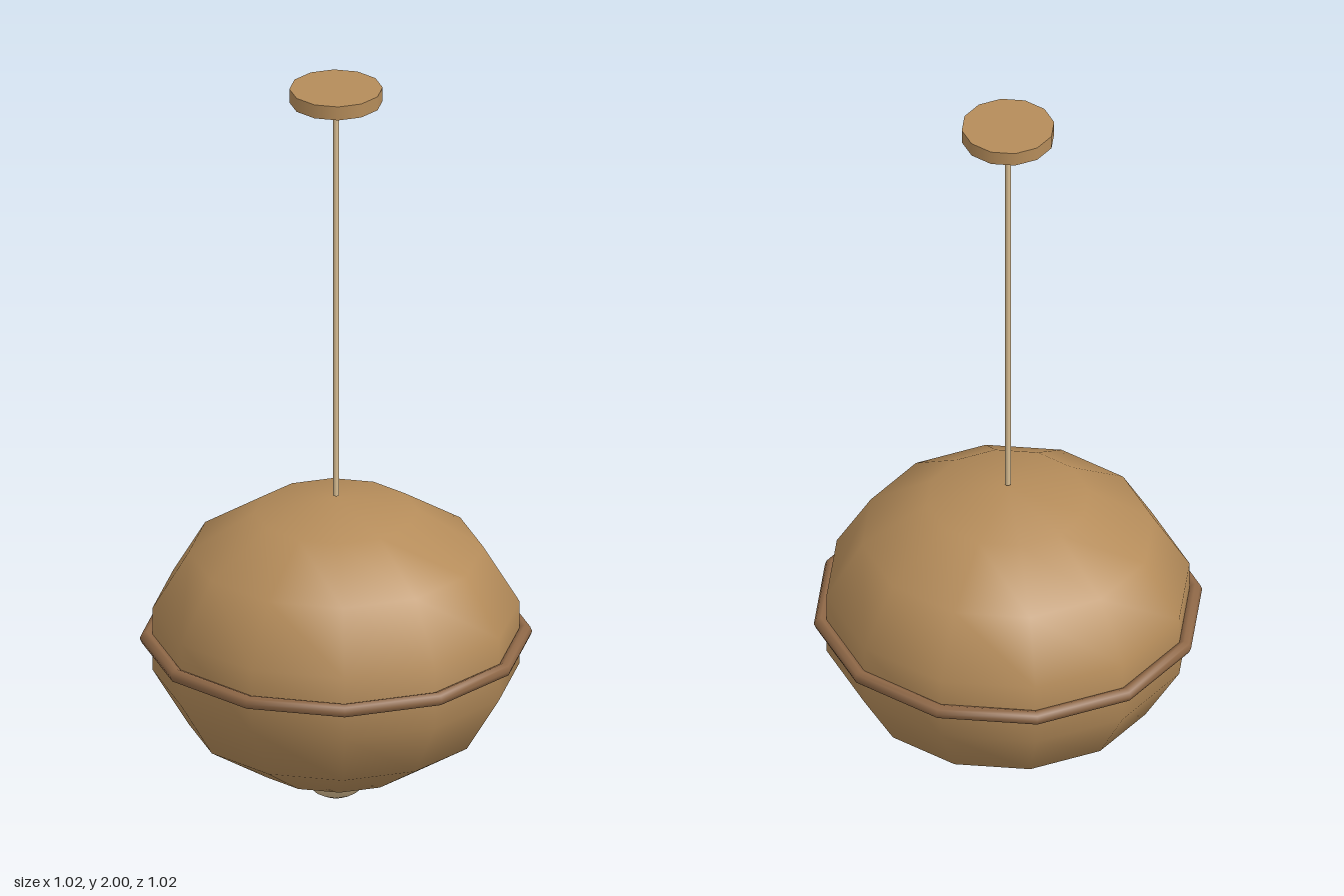
import * as THREE from 'three';

export function createModel() {
  const lamp = new THREE.Group();
  lamp.name = 'pendantLamp';

  const wood = new THREE.MeshStandardMaterial({ color: 0xb58c5a });
  const darkWood = new THREE.MeshStandardMaterial({ color: 0x8f6847 });
  const cream = new THREE.MeshStandardMaterial({ color: 0xdcc094 });

  const add = (name, geometry, material, y) => {
    const mesh = new THREE.Mesh(geometry, material);
    mesh.name = name;
    mesh.position.y = y;
    lamp.add(mesh);
    return mesh;
  };

  // Ceiling plate and hanging rod
  add('ceilingPlate', new THREE.CylinderGeometry(0.121, 0.121, 0.038, 12), wood, 1.981);
  add('rod', new THREE.CylinderGeometry(0.008, 0.008, 1.115, 8), cream, 1.407);

  // Flattened twelve-sided shade
  const shade = new THREE.SphereGeometry(0.488, 12, 7);
  shade.scale(1, 0.8, 1);
  shade.computeVertexNormals;
  add('shade', shade, wood, 0.453);

  // Band around the middle of the shade
  const band = new THREE.TorusGeometry(0.49, 0.0185, 8, 12);
  band.rotateX(Math.PI / 2);
  add('band', band, darkWood, 0.455);

  // Bulb peeping out underneath
  add('bulb', new THREE.SphereGeometry(0.097, 12, 10), cream, 0.097);

  return lamp;
}
